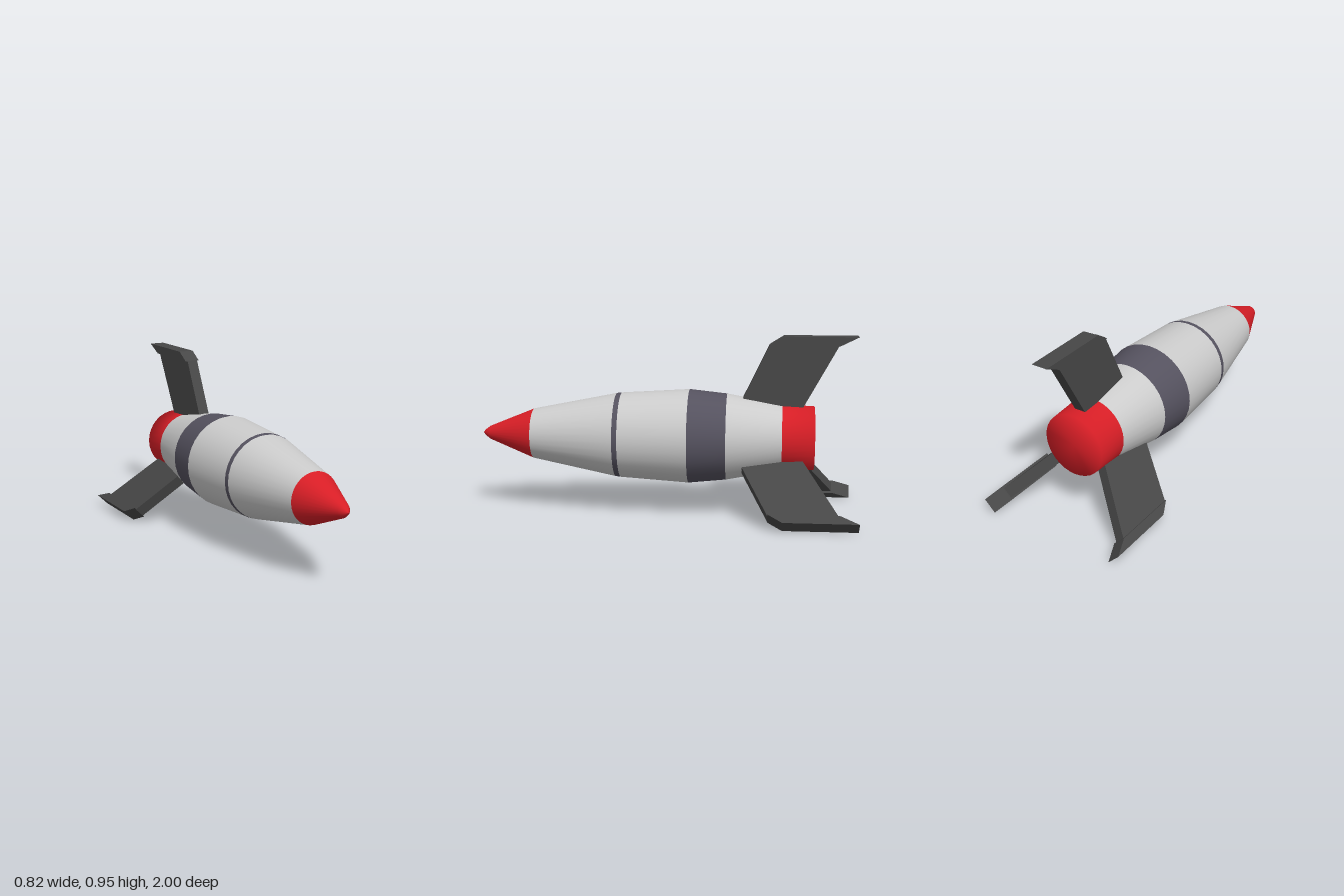
import * as THREE from 'three';

const AXIS_Y = 0.415;
const GREY = 0xcccccc, RED = 0xd81e26, SLATE = 0x55525f, DARK = 0x474747;

const materials = {};
function material(color) {
  return (materials[color] ??= new THREE.MeshStandardMaterial({ color }));
}

// Section of the hull, turned around z; points are [z, radius] from rear to nose
function hullSection(name, color, points) {
  const profile = points.map(([z, r]) => new THREE.Vector2(r, z));
  const geometry = new THREE.LatheGeometry(profile, 32);
  geometry.rotateX(Math.PI / 2);
  const mesh = new THREE.Mesh(geometry, material(color));
  mesh.name = name;
  return mesh;
}

// Flat plate; outline points are [z, radius], thickness runs along x
function plate(name, width, points) {
  const shape = new THREE.Shape(points.map(([z, r]) => new THREE.Vector2(z, r)));
  const geometry = new THREE.ExtrudeGeometry(shape, { depth: width, bevelEnabled: false });
  geometry.translate(0, 0, -width / 2);
  geometry.rotateY(-Math.PI / 2);
  const mesh = new THREE.Mesh(geometry, material(DARK));
  mesh.name = name;
  return mesh;
}

// Swept fin with a wider swept cap at its tip
function fin(name, angle) {
  const group = new THREE.Group();
  group.name = name;
  group.add(
    plate('finBlade', 0.06, [[-0.71, 0.15], [-0.375, 0.15], [-0.54, 0.495], [-0.9, 0.495]]),
    plate('finTip', 0.083, [[-0.905, 0.493], [-0.54, 0.493], [-0.615, 0.54], [-1, 0.54]])
  );
  group.rotation.z = angle;
  return group;
}

export function createModel() {
  const rocket = new THREE.Group();
  rocket.name = 'rocket';

  // Hull, from rear to nose
  const hull = new THREE.Group();
  hull.name = 'hull';
  hull.add(
    hullSection('tail', RED, [[-0.78, 0], [-0.78, 0.168], [-0.61, 0.176]]),
    hullSection('rearHull', GREY, [[-0.61, 0.176], [-0.32, 0.229]]),
    hullSection('wideBand', SLATE, [[-0.32, 0.229], [-0.12, 0.25]]),
    hullSection('middleHull', GREY, [[-0.12, 0.25], [0.243, 0.227]]),
    hullSection('narrowBand', SLATE, [[0.243, 0.227], [0.27, 0.224]]),
    hullSection('frontHull', GREY, [[0.27, 0.224], [0.72, 0.134]]),
    hullSection('noseCone', RED, [[0.72, 0.134], [0.96, 0.036], [0.987, 0.016], [1, 0]])
  );

  // One fin on top, two angled down to the sides
  const fins = new THREE.Group();
  fins.name = 'fins';
  fins.add(
    fin('topFin', 0),
    fin('leftFin', -Math.PI * 0.75),
    fin('rightFin', Math.PI * 0.75)
  );

  hull.position.y = fins.position.y = AXIS_Y;
  rocket.add(hull, fins);
  return rocket;
}
